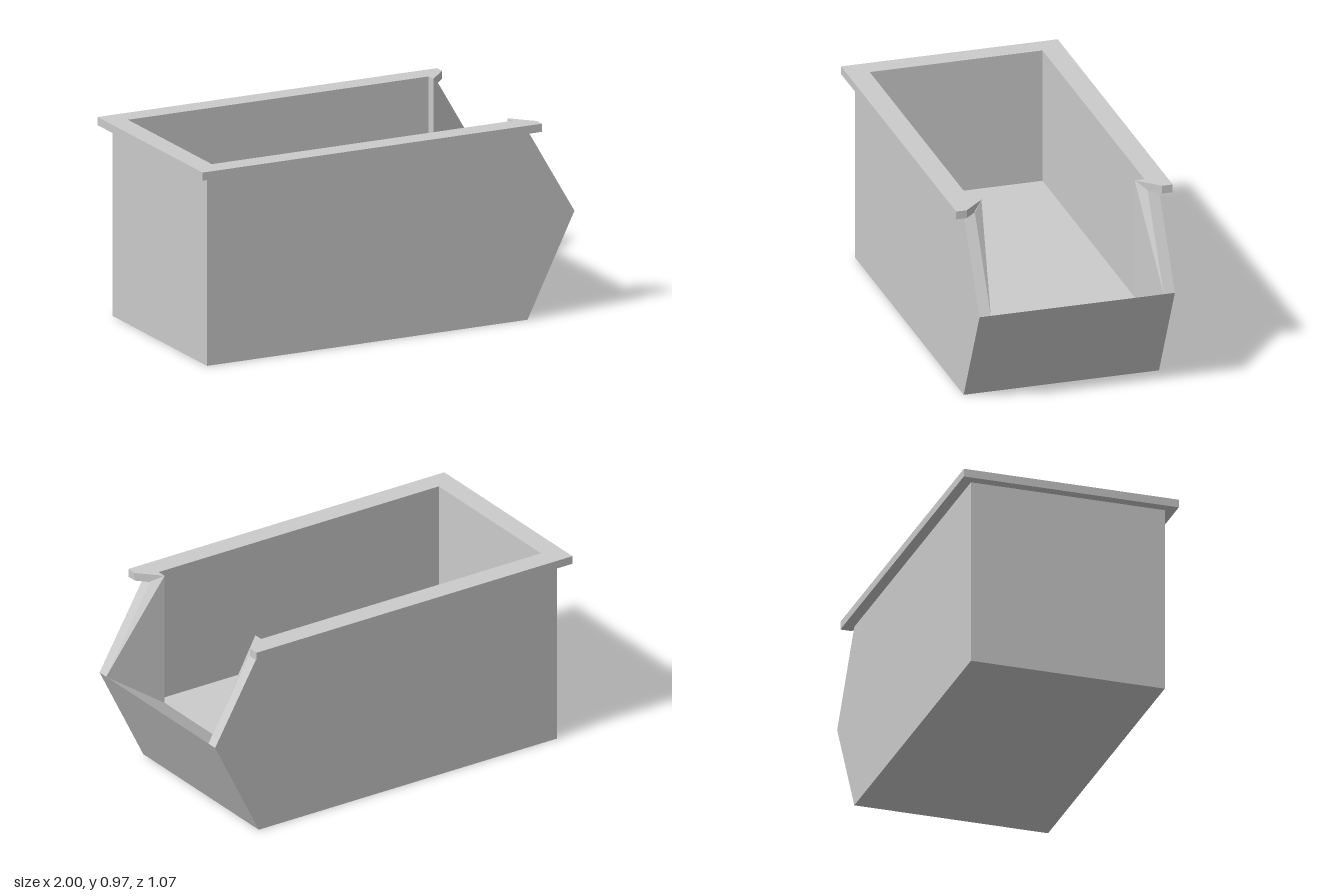
import * as THREE from 'three';
import { ConvexGeometry } from 'three/addons/geometries/ConvexGeometry.js';

// Key dimensions of the open-fronted storage bin
const BACK = -0.949, INNER_BACK = -0.895, FRONT = 0.751, MOUTH = 0.7, NOSE = 1;
const FLOOR = 0.298, LIP = 0.5, RIM_BOTTOM = 0.926, TOP = 0.966;
const OUTER = 0.4815, INNER = 0.426, POST = 0.378, RIM = 0.534;

const toShape = (points) => new THREE.Shape(points.map(([x, y]) => new THREE.Vector2(x, y)));
const extrude = (points, depth) =>
  new THREE.ExtrudeGeometry(toShape(points), { depth, bevelEnabled: false });

export function createModel() {
  const bin = new THREE.Group();
  bin.name = 'storageBin';
  const material = new THREE.MeshStandardMaterial({ color: 0xcccccc, flatShading: true });
  const add = (name, geometry) => {
    const mesh = new THREE.Mesh(geometry, material);
    mesh.name = name;
    bin.add(mesh);
  };

  // Thick base with the sloping front lip
  add('base', extrude(
    [[BACK, 0], [FRONT, 0], [NOSE, LIP], [MOUTH, FLOOR], [BACK, FLOOR]], 2 * OUTER
  ).translate(0, 0, -OUTER));

  // Back wall
  add('backWall', new THREE.BoxGeometry(INNER_BACK - BACK, RIM_BOTTOM - FLOOR, 2 * INNER)
    .translate((BACK + INNER_BACK) / 2, (FLOOR + RIM_BOTTOM) / 2, 0));

  for (const side of [1, -1]) {
    const label = side > 0 ? 'left' : 'right';

    // Side wall with a slanted front edge
    add(label + 'Wall', extrude(
      [[BACK, FLOOR], [MOUTH, FLOOR], [NOSE, LIP], [FRONT, RIM_BOTTOM], [BACK, RIM_BOTTOM]],
      OUTER - INNER
    ).translate(0, 0, side > 0 ? INNER : -OUTER));

    // Wedge-shaped post beside the front opening
    add(label + 'Post', new ConvexGeometry([
      [MOUTH, FLOOR, POST], [MOUTH, TOP, POST],
      [MOUTH, FLOOR, INNER], [MOUTH, TOP, INNER],
      [FRONT, RIM_BOTTOM, INNER], [NOSE, LIP, INNER],
    ].map(([x, y, z]) => new THREE.Vector3(x, y, z * side))));
  }

  // U-shaped rim with chamfered front ends
  const half = [[-1, RIM], [0.8, RIM], [0.8, OUTER], [MOUTH, POST], [MOUTH, INNER], [INNER_BACK, INNER]];
  const mirrored = half.map(([x, z]) => [x, -z]).reverse();
  add('rim', extrude([...half, ...mirrored], TOP - RIM_BOTTOM)
    .rotateX(Math.PI / 2).translate(0, TOP, 0));

  return bin;
}
